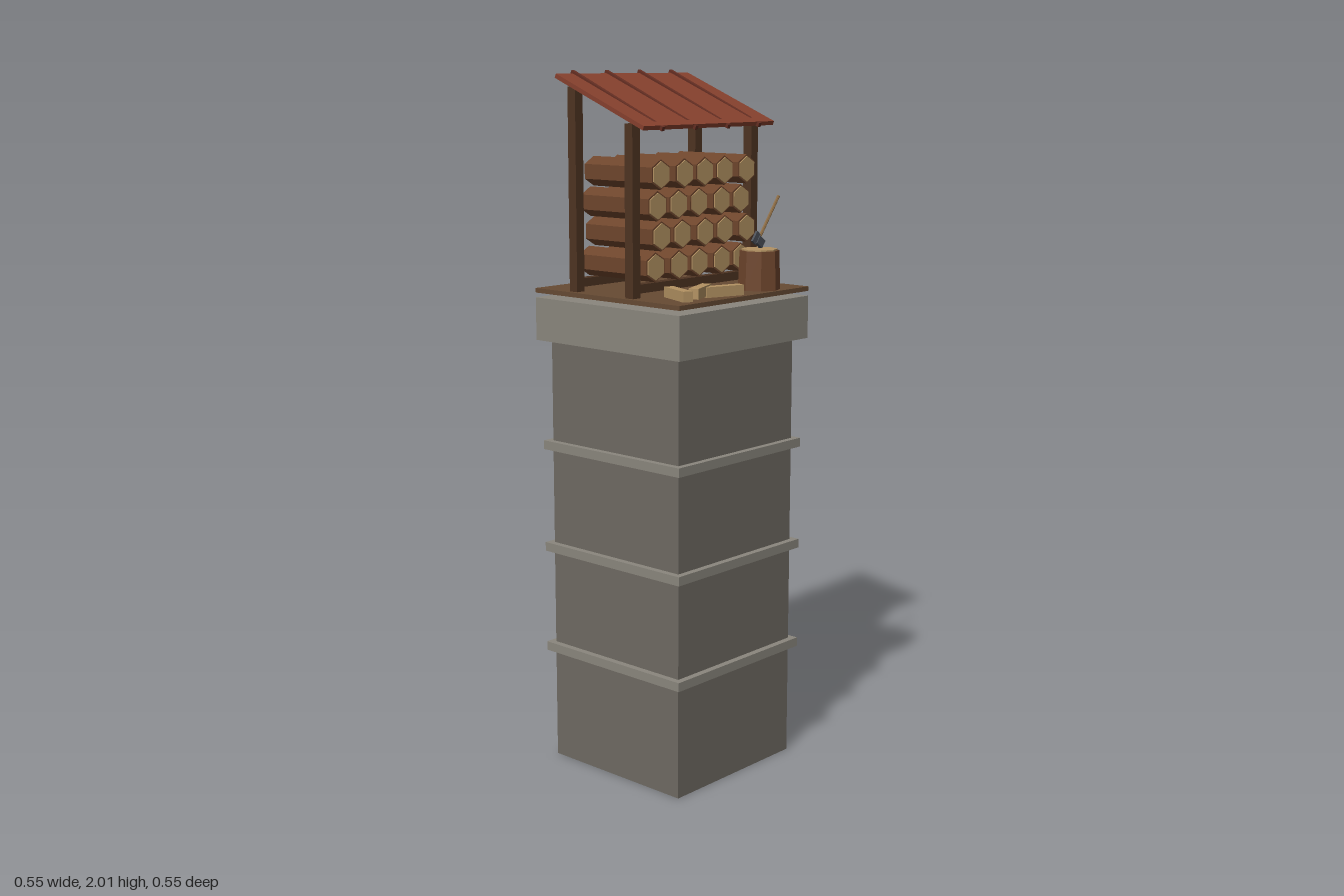
import * as THREE from 'three';

const material = (color) => new THREE.MeshStandardMaterial({ color, flatShading: true });
const stone = material(0x6e6a62), paleStone = material(0x8a867d);
const floorWood = material(0x664a33), postWood = material(0x4e3422);
const bark = material(0x6e452c), cutWood = material(0xb39262);
const roofRed = material(0x86402d), seamRed = material(0x642e22);
const steel = material(0x4a5058), handleWood = material(0x8a6a42);

function add(parent, name, geometry, mat, x, y, z) {
  const mesh = new THREE.Mesh(geometry, mat);
  mesh.name = name;
  mesh.position.set(x, y, z);
  parent.add(mesh);
  return mesh;
}
const box = (parent, name, mat, w, h, d, x, y, z) =>
  add(parent, name, new THREE.BoxGeometry(w, h, d), mat, x, y, z);

function group(parent, name, x = 0, y = 0, z = 0) {
  const g = new THREE.Group();
  g.name = name;
  g.position.set(x, y, z);
  parent.add(g);
  return g;
}

// Square tower with three bands and a wide cap
function buildTower(model) {
  const tower = group(model, 'tower');
  box(tower, 'towerShaft', stone, 0.486, 1.254, 0.486, 0, 0.627, 0);
  for (const y of [0.339, 0.643, 0.947]) box(tower, 'towerBand', paleStone, 0.524, 0.026, 0.524, 0, y, 0);
  box(tower, 'towerCap', paleStone, 0.548, 0.122, 0.548, 0, 1.314, 0);
  box(model, 'floorBoard', floorWood, 0.548, 0.013, 0.548, 0, 1.395, 0);
}

// Four posts, two log bearers and a sloping roof with raised seams
function buildShelter(model) {
  const shelter = group(model, 'shelter');
  for (const [z, top] of [[0.079, 1.868], [-0.135, 1.962]]) {
    for (const side of [-1, 1]) {
      box(shelter, 'post', postWood, 0.029, top - 1.4, 0.029, side * 0.246, (top + 1.4) / 2, z);
    }
    box(shelter, 'logBearer', postWood, 0.47, 0.024, 0.026, 0, 1.426, z);
  }
  const roof = group(shelter, 'roof', 0, 1.924, -0.022);
  roof.rotation.x = 0.385;
  box(roof, 'roofSheet', roofRed, 0.54, 0.012, 0.355, 0, 0, 0);
  for (const x of [-0.2, -0.067, 0.067, 0.2]) {
    const seam = box(roof, 'roofSeam', seamRed, 0.011, 0.012, 0.372, x, 0.003, 0);
    seam.rotation.x = 0.02;
  }
}

// Staggered rows of six-sided logs with pale front ends
function buildLogs(model) {
  const stack = group(model, 'logStack');
  const logShape = new THREE.CylinderGeometry(0.041, 0.041, 0.255, 6).rotateX(Math.PI / 2);
  const endShape = new THREE.CylinderGeometry(0.036, 0.036, 0.006, 6).rotateX(Math.PI / 2);
  for (let row = 0; row < 4; row++) {
    for (let i = 0; i < 5; i++) {
      const x = -0.178 + (row % 2) * 0.02 + i * 0.0885;
      const y = 1.481 + row * 0.083;
      const z = -0.024 + ((i * 3 + row * 2) % 5 - 2) * 0.002;
      add(stack, 'log', logShape, bark, x, y, z);
      add(stack, 'logEnd', endShape, cutWood, x, y, z + 0.1275);
    }
  }
}

// Chopping block with an axe resting in it
function buildChoppingBlock(model) {
  const block = group(model, 'choppingBlock', 0.136, 1.401, 0.206);
  add(block, 'stump', new THREE.CylinderGeometry(0.056, 0.06, 0.11, 8), bark, 0, 0.055, 0);
  add(block, 'stumpTop', new THREE.CylinderGeometry(0.051, 0.051, 0.006, 8), cutWood, 0, 0.111, 0);

  const axe = group(block, 'axe', -0.006, 0.138, 0);
  axe.rotation.z = -0.64;
  add(axe, 'axeHandle', new THREE.CylinderGeometry(0.0045, 0.0045, 0.155, 6), handleWood, 0, 0.07, 0);
  box(axe, 'axeHead', steel, 0.028, 0.024, 0.012, 0.008, 0, 0);
  box(axe, 'axeBlade', steel, 0.018, 0.034, 0.007, -0.013, 0, 0);
}

// Loose split pieces lying on the floor
function buildSplitWood(model) {
  const pile = group(model, 'splitWood');
  const pieces = [
    [-0.183, 1.416, 0.188, 1.18],
    [-0.122, 1.42, 0.2125, 0.417],
    [-0.047, 1.416, 0.229, -0.289],
  ];
  for (const [x, y, z, turn] of pieces) {
    box(pile, 'splitPiece', cutWood, 0.12, 0.029, 0.028, x, y, z).rotation.y = turn;
  }
}

export function createModel() {
  const model = new THREE.Group();
  model.name = 'woodStoreTower';
  buildTower(model);
  buildShelter(model);
  buildLogs(model);
  buildChoppingBlock(model);
  buildSplitWood(model);
  return model;
}
